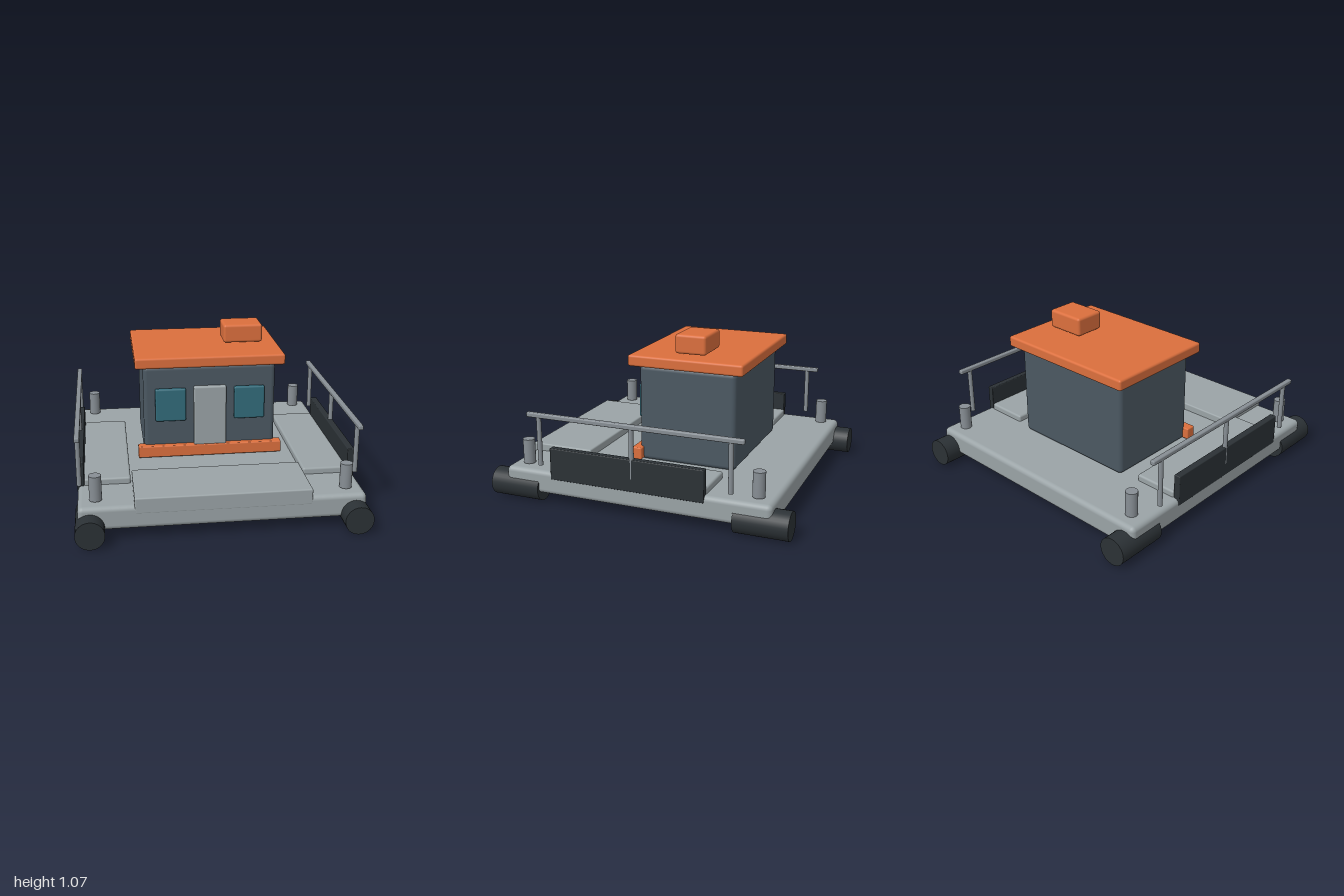
import * as THREE from 'three';
import { RoundedBoxGeometry } from 'three/addons/geometries/RoundedBoxGeometry.js';

const mat = (color) => new THREE.MeshStandardMaterial({ color });

export function createModel() {
  const model = new THREE.Group();
  const deckGrey = mat(0x9aa3a6);
  const steel = mat(0x878e94);
  const orange = mat(0xdb6f3d);
  const slate = mat(0x4b5862);
  const glass = mat(0x326b7a);
  const rubber = mat(0x2b3135);

  // Rounded block given by its extents on each axis
  function block(name, material, [x0, x1], [y0, y1], [z0, z1], radius) {
    const geo = new RoundedBoxGeometry(x1 - x0, y1 - y0, z1 - z0, 3, radius);
    const mesh = new THREE.Mesh(geo, material);
    mesh.position.set((x0 + x1) / 2, (y0 + y1) / 2, (z0 + z1) / 2);
    mesh.name = name;
    model.add(mesh);
    return mesh;
  }

  // Upright cylinder standing from y0 to y1
  function post(name, material, x, z, y0, y1, radius) {
    const mesh = new THREE.Mesh(new THREE.CylinderGeometry(radius, radius, y1 - y0, 24), material);
    mesh.position.set(x, (y0 + y1) / 2, z);
    mesh.name = name;
    model.add(mesh);
  }

  // Extents mirrored to the given side
  const mirror = (s, a, b) => (s > 0 ? [a, b] : [-b, -a]);

  // Hull deck and raised front platform
  block('deck', deckGrey, [-0.895, 0.895], [0.07, 0.225], [-0.895, 0.895], 0.032);
  block('frontPlatform', deckGrey, [-0.55, 0.55], [0.17, 0.275], [0.46, 0.896], 0.01);

  // Cabin with sill, door and windows
  block('cabin', slate, [-0.447, 0.447], [0.225, 0.865], [-0.516, 0.143], 0.03);
  block('cabinSill', orange, [-0.49, 0.49], [0.235, 0.315], [0.115, 0.185], 0.008);
  block('door', deckGrey, [-0.11, 0.11], [0.3, 0.725], [0.135, 0.175], 0.012);
  for (const s of [1, -1]) {
    block('window', glass, mirror(s, 0.163, 0.37), [0.49, 0.717], [0.145, 0.18], 0.012);
  }

  // Roof and roof box
  block('roof', orange, [-0.502, 0.502], [0.866, 0.94], [-0.577, 0.2], 0.015);
  block('roofBox', orange, [0.125, 0.395], [0.95, 1.076], [-0.295, -0.085], 0.018);

  for (const s of [1, -1]) {
    // Side platform and fender panel
    block('sidePlatform', deckGrey, mirror(s, 0.56, 0.855), [0.2, 0.267], [-0.48, 0.56], 0.014);
    block('fender', rubber, mirror(s, 0.853, 0.898), [0.18, 0.39], [-0.476, 0.564], 0.006);

    // Handrail on three posts
    block('handrail', steel, mirror(s, 0.867, 0.9), [0.58, 0.611], [-0.722, 0.722], 0.008);
    for (const z of [-0.64, 0, 0.64]) post('railPost', steel, s * 0.883, z, 0.265, 0.595, 0.0155);

    // Corner bollards and floats
    for (const e of [1, -1]) {
      post('bollard', steel, s * 0.783, e * 0.783, 0.23, 0.392, 0.039);
      const float = new THREE.Mesh(new THREE.CylinderGeometry(0.091, 0.091, 0.344, 32), rubber);
      float.rotation.x = Math.PI / 2;
      float.position.set(s * 0.824, 0.0925, e * 0.828);
      float.name = 'cornerFloat';
      model.add(float);
    }
  }

  return model;
}
